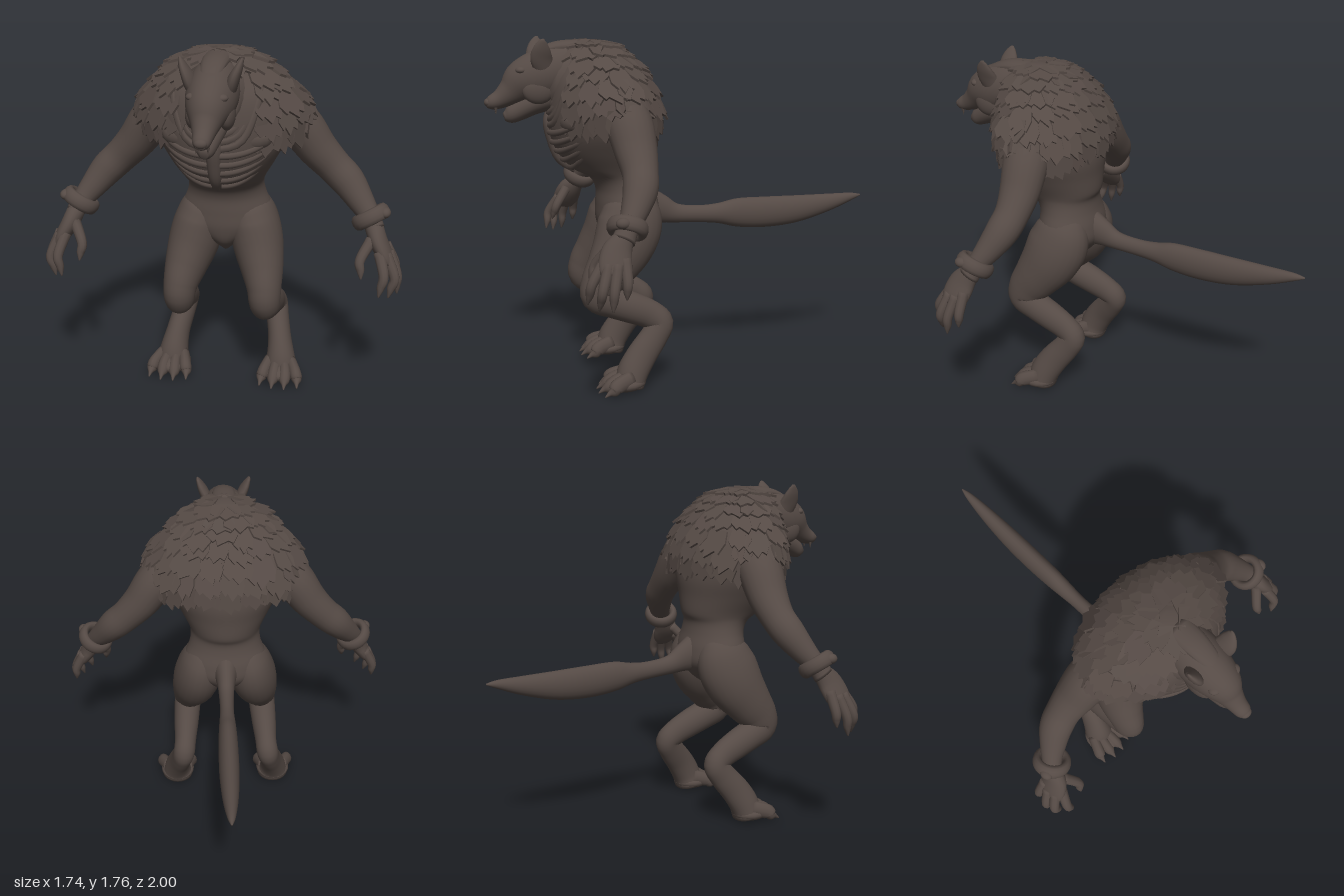
import * as THREE from 'three';
import { mergeGeometries } from 'three/addons/utils/BufferGeometryUtils.js';

const V = (x, y, z) => new THREE.Vector3(x, y, z);
const X = V(1, 0, 0), Y = V(0, 1, 0), Z = V(0, 0, 1);

// Seeded jitter in -1..1
let seed = 7;
const rnd = () => ((seed = (seed * 16807) % 2147483647) / 2147483647) * 2 - 1;

// Smooth surface through oval sections [x, y, z, halfWidth, halfDepth].
// flat keeps the sections horizontal; taper narrows the front of each one.
function sections(pts, ref = X, flat = false, taper = 0) {
  const path = new THREE.CatmullRomCurve3(pts.map(p => V(p[0], p[1], p[2])), false, 'catmullrom', 0.5);
  const size = new THREE.CatmullRomCurve3(pts.map(p => V(p[3], p[4], 0)), false, 'catmullrom', 0.5);
  return (t, ang, grow = 0, scale = 1) => {
    const T = flat ? Y.clone() : path.getTangent(t);
    const S = ref.clone().addScaledVector(T, -ref.dot(T)).normalize();
    const U = T.clone().cross(S);
    const r = size.getPoint(t);
    const a = (Math.max(r.x, 0.002) + grow) * scale * (1 - taper * Math.max(0, -Math.sin(ang)));
    const b = (Math.max(r.y, 0.002) + grow) * scale;
    return path.getPoint(t).addScaledVector(S, Math.cos(ang) * a).addScaledVector(U, Math.sin(ang) * b);
  };
}

// Closed skin over a section surface
function skin(at, rows, sides = 24) {
  const pos = [], idx = [];
  for (let i = -1; i <= rows + 1; i++) {
    const t = Math.min(Math.max(i / rows, 0), 1);
    const scale = i < 0 || i > rows ? 0.001 : 1;
    for (let j = 0; j < sides; j++) pos.push(...at(t, (j / sides) * Math.PI * 2, 0, scale).toArray());
  }
  for (let i = 0; i < rows + 2; i++) for (let j = 0; j < sides; j++) {
    const a = i * sides + j, b = i * sides + (j + 1) % sides;
    idx.push(a, b, a + sides, b, b + sides, a + sides);
  }
  const g = new THREE.BufferGeometry();
  g.setAttribute('position', new THREE.Float32BufferAttribute(pos, 3));
  g.setIndex(idx);
  g.computeVertexNormals();
  return g;
}

export function createModel() {
  const model = new THREE.Group();
  const hide = new THREE.MeshStandardMaterial({ color: 0x554a45 });
  hide.name = 'dark brown hide';

  const add = (name, geo) => {
    const m = new THREE.Mesh(geo, hide);
    m.name = name;
    model.add(m);
    return m;
  };
  const loft = (name, pts, ref = X, sides = 20) => add(name, skin(sections(pts, ref), (pts.length - 1) * 5, sides));
  const blob = (name, p, r) => {
    const m = add(name, new THREE.SphereGeometry(1, 20, 14));
    m.position.set(...p);
    m.scale.set(...r);
    return m;
  };
  const tube = (name, pts, r) => add(name, new THREE.TubeGeometry(new THREE.CatmullRomCurve3(pts), 24, r, 8));

  // Torso
  const torso = sections([
    [0, 0.70, 0.32, 0.015, 0.04], [0, 0.76, 0.31, 0.09, 0.12], [0, 0.84, 0.295, 0.215, 0.16],
    [0, 0.92, 0.295, 0.222, 0.16], [0, 1.0, 0.305, 0.193, 0.15], [0, 1.06, 0.325, 0.185, 0.165],
    [0, 1.11, 0.36, 0.20, 0.22], [0, 1.2, 0.395, 0.25, 0.26], [0, 1.3, 0.41, 0.30, 0.28],
    [0, 1.42, 0.42, 0.33, 0.27], [0, 1.55, 0.43, 0.30, 0.24], [0, 1.66, 0.45, 0.2, 0.16],
  ], X, true);
  add('torso', skin(torso, 60, 40));

  // Ribs and breastbone on the chest front
  for (const s of [-1, 1]) for (let k = 0; k < 5; k++) {
    const pts = [];
    for (let i = 0; i <= 6; i++) {
      const u = i / 6;
      pts.push(torso(0.555 + k * 0.042 + 0.07 * u * u, -Math.PI / 2 + s * (0.1 + u * (0.8 + k * 0.05)), -0.003 - 0.016 * u * u));
    }
    tube('rib', pts, 0.017);
  }
  loft('breastbone', [[0, 1.09, 0.56, 0.008, 0.012], [0, 1.16, 0.63, 0.028, 0.03], [0, 1.26, 0.67, 0.035, 0.03],
    [0, 1.34, 0.685, 0.04, 0.03], [0, 1.4, 0.67, 0.03, 0.03]], X, 12);

  // Shaggy mantle over the shoulders
  const mantle = sections([
    [0, 1.35, 0.40, 0.40, 0.27], [0, 1.43, 0.405, 0.41, 0.272], [0, 1.52, 0.42, 0.37, 0.255], [0, 1.61, 0.435, 0.29, 0.208],
    [0, 1.68, 0.455, 0.20, 0.15], [0, 1.72, 0.475, 0.11, 0.10], [0, 1.74, 0.49, 0.03, 0.04],
  ], X, true, 0.27);
  add('mantle', skin(mantle, 30, 48));

  // Ragged fur plates laid in overlapping rows
  const plates = [];
  const rows = 7;
  for (let r = 0; r < rows; r++) {
    const t = 0.86 - (r / (rows - 1)) * 0.78;
    const n = Math.round(8 + r * 2.5);
    for (let i = 0; i < n; i++) {
      const ang = ((i + (r % 2) / 2 + rnd() * 0.15) / n) * Math.PI * 2;
      if (-Math.sin(ang) > 0.8) continue;
      const tt = Math.min(0.95, t + rnd() * 0.03);
      const p = mantle(tt, ang, -0.004);
      const across = mantle(tt, ang + 0.05).sub(mantle(tt, ang - 0.05)).normalize();
      const up = mantle(tt + 0.04, ang).sub(mantle(tt - 0.04, ang)).normalize();
      const out = across.clone().cross(up).normalize();
      up.addScaledVector(out, -0.13).normalize();
      out.copy(across).cross(up).normalize();
      const yAxis = out.clone().cross(across).normalize();
      const w = 0.07 + rnd() * 0.016, l = 0.095 + rnd() * 0.022;
      const shape = new THREE.Shape([[-w * 0.8, 0.04], [-w, -l * 0.35], [-w * 0.6, -l * 0.75], [-w * 0.4, -l * 0.6],
        [w * rnd() * 0.3, -l], [w * 0.4, -l * 0.65], [w * 0.75, -l * 0.8], [w, -l * 0.25], [w * 0.8, 0.04]]
        .map(c => new THREE.Vector2(...c)));
      const g = new THREE.ExtrudeGeometry(shape, { depth: 0.012, bevelEnabled: false });
      g.applyMatrix4(new THREE.Matrix4().makeBasis(across, yAxis, out).setPosition(p));
      plates.push(g);
    }
  }
  add('furPlates', mergeGeometries(plates));

  // Loose throat folds hanging round the neck
  loft('neck', [[0, 1.52, 0.46, 0.21, 0.19], [0, 1.54, 0.57, 0.17, 0.18], [0, 1.56, 0.68, 0.11, 0.13]]);
  for (let k = 0; k < 4; k++) {
    const w = 0.13 + k * 0.022, low = 1.42 - k * 0.03;
    tube('throatFold', [V(-w, 1.61, 0.55), V(-w * 0.95, 1.52, 0.61), V(-w * 0.6, low + 0.03, 0.66), V(0, low, 0.68),
      V(w * 0.6, low + 0.03, 0.66), V(w * 0.95, 1.52, 0.61), V(w, 1.61, 0.55)], 0.022);
  }

  // Head
  loft('head', [[0, 1.61, 0.56, 0.11, 0.125], [0, 1.59, 0.65, 0.118, 0.133], [0, 1.565, 0.74, 0.113, 0.128],
    [0, 1.54, 0.81, 0.095, 0.108], [0, 1.495, 0.87, 0.064, 0.07], [0, 1.463, 0.92, 0.047, 0.048],
    [0, 1.445, 0.965, 0.038, 0.035], [0, 1.437, 0.99, 0.02, 0.018]], X, 28);
  loft('jaw', [[0, 1.47, 0.68, 0.085, 0.07], [0, 1.44, 0.76, 0.072, 0.06], [0, 1.405, 0.83, 0.054, 0.052],
    [0, 1.382, 0.875, 0.04, 0.042], [0, 1.373, 0.905, 0.018, 0.02]]);
  blob('nose', [0, 1.447, 0.977], [0.03, 0.022, 0.023]);
  loft('crest', [[0, 1.71, 0.52, 0.07, 0.04], [0, 1.71, 0.64, 0.06, 0.03], [0, 1.68, 0.74, 0.045, 0.022],
    [0, 1.63, 0.81, 0.02, 0.02]], X, 16);

  // Tail
  loft('tail', [[0, 0.90, 0.22, 0.08, 0.11], [0, 0.87, 0.12, 0.052, 0.078], [0, 0.842, 0.03, 0.04, 0.05],
    [0, 0.832, -0.1, 0.036, 0.046], [0, 0.83, -0.2, 0.042, 0.055], [0, 0.828, -0.3, 0.047, 0.077],
    [0, 0.823, -0.45, 0.05, 0.083], [0, 0.83, -0.62, 0.048, 0.075], [0, 0.855, -0.8, 0.037, 0.05],
    [0, 0.882, -0.94, 0.02, 0.022], [0, 0.89, -1, 0.004, 0.004]]);

  for (const s of [-1, 1]) {
    const side = pts => pts.map(p => [s * p[0], ...p.slice(1)]);

    // Ears, brows, cheeks, fangs
    loft('ear', side([[0.08, 1.61, 0.71, 0.03, 0.05], [0.10, 1.665, 0.725, 0.027, 0.054], [0.12, 1.71, 0.725, 0.02, 0.042],
      [0.134, 1.745, 0.72, 0.01, 0.02], [0.138, 1.758, 0.715, 0.003, 0.004]]), X, 14);
    blob('brow', [s * 0.055, 1.605, 0.82], [0.038, 0.02, 0.03]);
    blob('eye', [s * 0.062, 1.57, 0.837], [0.014, 0.012, 0.014]);
    blob('cheek', [s * 0.075, 1.51, 0.74], [0.036, 0.07, 0.08]);
    const fang = add('fang', new THREE.ConeGeometry(0.009, 0.035, 8));
    fang.position.set(s * 0.026, 1.407, 0.945);
    fang.rotation.x = Math.PI;

    // Chest muscle
    blob('chestMuscle', [s * 0.13, 1.36, 0.57], [0.13, 0.075, 0.085]);

    // Arm
    loft('arm', side([[0.27, 1.42, 0.37, 0.12, 0.12], [0.36, 1.35, 0.345, 0.115, 0.108], [0.44, 1.243, 0.332, 0.102, 0.095],
      [0.52, 1.157, 0.33, 0.086, 0.084], [0.59, 1.09, 0.345, 0.082, 0.081], [0.655, 1.01, 0.385, 0.065, 0.065],
      [0.705, 0.945, 0.425, 0.05, 0.05], [0.735, 0.89, 0.455, 0.055, 0.045]]), Z);

    // Cuff with stud
    const cuff = add('cuff', new THREE.TorusGeometry(0.073, 0.023, 12, 28));
    cuff.position.set(s * 0.71, 0.945, 0.43);
    cuff.scale.z = 1.6;
    cuff.quaternion.setFromUnitVectors(Z, V(s * 0.5, -0.82, 0.28).normalize());
    blob('cuffStud', [s * 0.775, 0.982, 0.46], [0.028, 0.026, 0.035]);

    // Hand and clawed fingers
    loft('palm', side([[0.725, 0.91, 0.445, 0.045, 0.045], [0.75, 0.85, 0.485, 0.07, 0.043], [0.785, 0.79, 0.505, 0.073, 0.036],
      [0.81, 0.75, 0.515, 0.056, 0.024]]), Z);
    const fingers = [
      [[0.72, 0.86, 0.51], [0.672, 0.78, 0.57], [0.68, 0.695, 0.60]],
      [[0.76, 0.81, 0.545], [0.785, 0.72, 0.605], [0.765, 0.62, 0.625]],
      [[0.79, 0.80, 0.53], [0.835, 0.70, 0.565], [0.81, 0.60, 0.58]],
      [[0.80, 0.80, 0.49], [0.845, 0.70, 0.515], [0.85, 0.60, 0.525]],
      [[0.785, 0.82, 0.455], [0.833, 0.73, 0.455], [0.84, 0.65, 0.46]],
    ];
    for (const [a, b, c] of fingers) {
      const mid = b.map((v, i) => v * 0.45 + c[i] * 0.55);
      loft('finger', side([[...a, 0.028, 0.028], [...b, 0.024, 0.024], [...mid, 0.019, 0.019], [...c, 0.004, 0.004]]), Z, 10);
    }

    // Leg in one sweep: hip, thigh, bent knee, shin, hock, instep
    loft('leg', side([[0.09, 1.0, 0.30, 0.05, 0.08], [0.113, 0.92, 0.295, 0.106, 0.14], [0.137, 0.83, 0.305, 0.126, 0.165],
      [0.162, 0.73, 0.345, 0.126, 0.157], [0.19, 0.63, 0.41, 0.106, 0.13], [0.208, 0.55, 0.465, 0.086, 0.108],
      [0.213, 0.488, 0.48, 0.077, 0.092], [0.218, 0.45, 0.405, 0.073, 0.083], [0.223, 0.415, 0.315, 0.068, 0.08],
      [0.228, 0.375, 0.225, 0.06, 0.073], [0.236, 0.33, 0.172, 0.06, 0.066], [0.25, 0.26, 0.212, 0.058, 0.072],
      [0.268, 0.18, 0.275, 0.06, 0.078], [0.28, 0.10, 0.325, 0.073, 0.08], [0.282, 0.035, 0.345, 0.088, 0.075]]), X, 24);
    blob('sole', [s * 0.282, 0.048, 0.365], [0.096, 0.045, 0.104]);

    // Toes with claws
    for (let k = 0; k < 4; k++) {
      const u = k - 1.5, x = 0.285 + u * 0.054, tip = 0.488 - Math.abs(u) * 0.022;
      loft('toe', side([[0.28 + u * 0.035, 0.08, 0.34, 0.03, 0.045], [x, 0.058, 0.42, 0.031, 0.04], [x + u * 0.006, 0.038, tip - 0.015, 0.027, 0.029],
        [x + u * 0.008, 0.028, tip + 0.008, 0.013, 0.014], [x + u * 0.01, 0.012, tip + 0.032, 0.003, 0.003]]), X, 12);
    }
  }
  return model;
}
